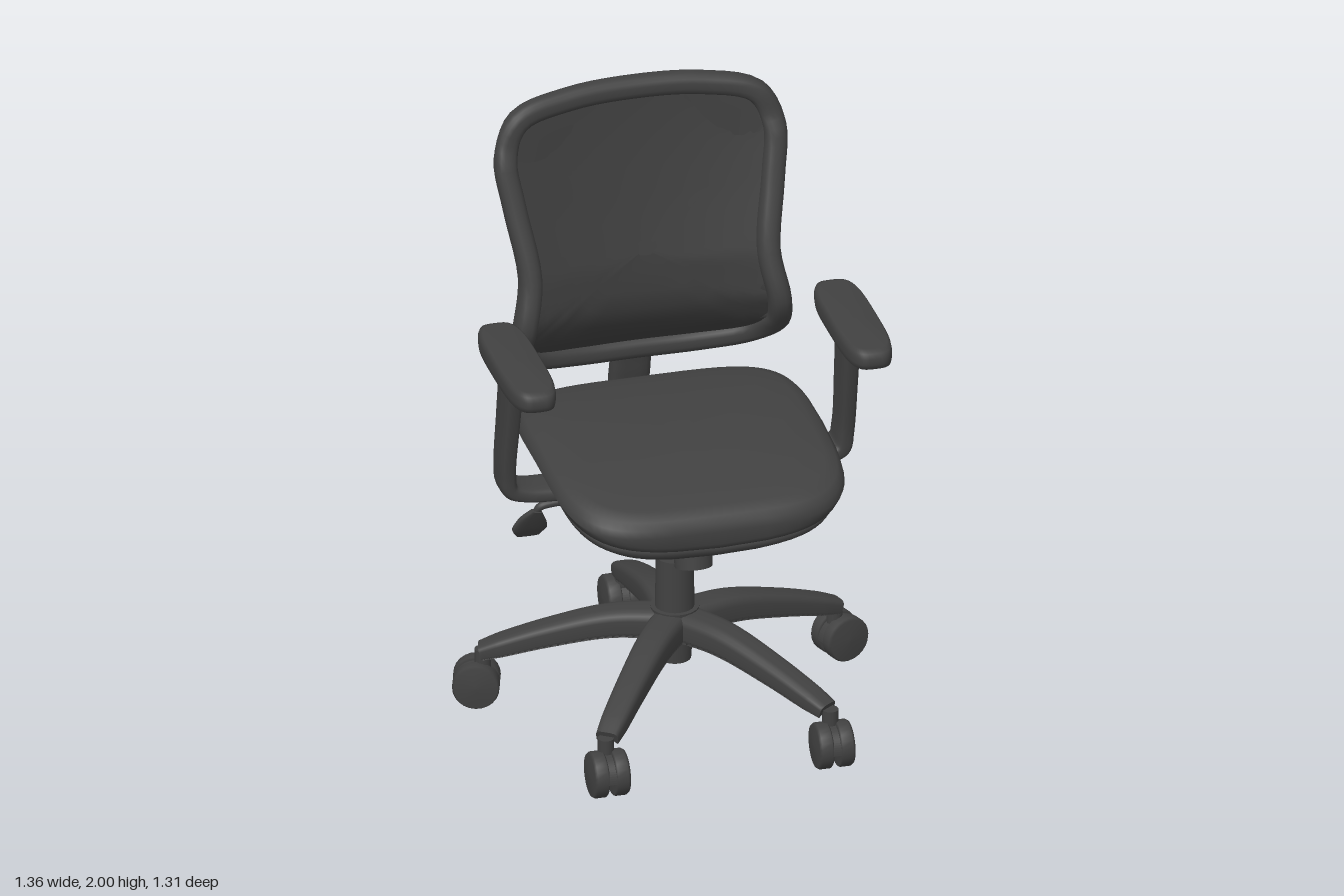
import * as THREE from 'three';
import { RoundedBoxGeometry } from 'three/addons/geometries/RoundedBoxGeometry.js';

const V = (x, y, z) => new THREE.Vector3(x, y, z);
const soft = (v, p) => Math.sign(v) * Math.abs(v) ** p;

// Skin a list of rings (arrays of Vector3, counter-clockwise about the path)
function skin(rings, closed = false) {
  const n = rings[0].length, pos = [], idx = [];
  rings.forEach(r => r.forEach(p => pos.push(p.x, p.y, p.z)));
  const last = closed ? rings.length : rings.length - 1;
  for (let i = 0; i < last; i++) for (let j = 0; j < n; j++) {
    const k = (i + 1) % rings.length, m = (j + 1) % n;
    const a = i * n + j, b = i * n + m, c = k * n + j, d = k * n + m;
    idx.push(a, b, c, b, d, c);
  }
  if (!closed) [rings[0], rings[rings.length - 1]].forEach((r, end) => {
    const base = pos.length / 3;
    const mid = r.reduce((s, p) => s.add(p), V(0, 0, 0)).divideScalar(n);
    [...r, mid].forEach(p => pos.push(p.x, p.y, p.z));
    for (let j = 0; j < n; j++) {
      const a = base + j, b = base + (j + 1) % n;
      end ? idx.push(base + n, a, b) : idx.push(base + n, b, a);
    }
  });
  const g = new THREE.BufferGeometry();
  g.setAttribute('position', new THREE.Float32BufferAttribute(pos, 3));
  g.setIndex(idx);
  g.computeVertexNormals();
  return g;
}

// Sweep a rounded section; each point is [x, y, z, halfThickness, halfWidth], width runs along side.
// A groove presses the middle of the underside into the section.
function sweep(points, side, { closed = false, steps = 32, pow = 0.6, groove = false } = {}) {
  const path = new THREE.CatmullRomCurve3(points.map(p => V(p[0], p[1], p[2])), closed);
  const size = new THREE.CatmullRomCurve3(points.map(p => V(p[3], p[4], 0)), closed);
  const rings = [];
  for (let i = 0; i < steps + (closed ? 0 : 1); i++) {
    const u = i / steps, c = path.getPoint(u), s = size.getPoint(u);
    const n = path.getTangent(u).cross(side).normalize();
    rings.push(Array.from({ length: 16 }, (_, j) => {
      const a = (j + 0.5) / 16 * Math.PI * 2, w = soft(Math.cos(a), pow);
      const h = groove && Math.sin(a) > 0 && Math.abs(w) < 0.75 ? -0.4 : soft(Math.sin(a), pow);
      return c.clone().addScaledVector(side, s.y * w).addScaledVector(n, s.x * h);
    }));
  }
  return skin(rings, closed);
}

// Cushion-like solid: stacked rounded-rectangle rings, layers are [scale, y] from bottom to top
function cushion(hx, hz, pow, layers, lift = () => 0) {
  return skin(layers.map(([r, y]) => Array.from({ length: 64 }, (_, j) => {
    const a = j / 64 * Math.PI * 2;
    const x = hx * r * soft(Math.cos(a), pow), z = -hz * r * soft(Math.sin(a), pow);
    return V(x, y + lift(x, y, z), z);
  })));
}

// Backrest surface: [height, depth at the centre, forward bend at the sides]
const BACK = [[1.0, -0.44, 0.035], [1.08, -0.39, 0.047], [1.16, -0.312, 0.055], [1.26, -0.264, 0.056], [1.4, -0.278, 0.048],
  [1.6, -0.337, 0.043], [1.8, -0.39, 0.035], [1.9, -0.412, 0.035], [2.0, -0.432, 0.04]];
function backZ(x, y) {
  let i = 0;
  while (i < BACK.length - 2 && y > BACK[i + 1][0]) i++;
  const [a, b] = [BACK[i], BACK[i + 1]], t = (y - a[0]) / (b[0] - a[0]);
  return a[1] + (b[1] - a[1]) * t + (a[2] + (b[2] - a[2]) * t) * (x / 0.44) ** 2;
}

export function createModel() {
  const chair = new THREE.Group();
  const charcoal = new THREE.MeshStandardMaterial({ color: 0x414141 });
  charcoal.name = 'charcoal';
  const meshFabric = new THREE.MeshStandardMaterial({ color: 0x3c3c3c, side: THREE.DoubleSide });
  meshFabric.name = 'mesh fabric';
  const X = V(1, 0, 0), Y = V(0, 1, 0), Z = V(0, 0, 1);
  const add = (name, geo, x = 0, y = 0, z = 0, parent = chair, mat = charcoal) => {
    const m = new THREE.Mesh(geo, mat);
    m.name = name;
    m.position.set(x, y, z);
    parent.add(m);
    return m;
  };
  const cyl = (r1, r2, h, n = 24) => new THREE.CylinderGeometry(r1, r2, h, n);

  // Seat cushion and the recessed shell below it; the underside curves up towards the sides
  const bend = (x, y, z) => -0.2 * (z + 0.095) ** 2 + (y < -0.09 ? 0.045 : 0) * (x / 0.465) ** 2;
  add('seatCushion', cushion(0.47, 0.482, 0.48, [[0.93, -0.135], [0.975, -0.125], [0.995, -0.105], [1, -0.06], [0.988, -0.036],
    [0.955, -0.018], [0.88, -0.006], [0.7, 0], [0.4, 0.002], [0.1, 0.003]], bend), 0, 1.017, 0.115);
  add('seatShell', cushion(0.465, 0.475, 0.48, [[0.1, -0.185], [0.6, -0.183], [0.78, -0.183], [0.82, -0.197], [0.87, -0.192],
    [0.94, -0.165], [0.965, -0.14], [0.93, -0.125]], bend), 0, 1.017, 0.115);

  // Backrest rim and mesh panel
  const half = [[0, 1.05], [0.2, 1.055], [0.36, 1.085], [0.422, 1.16], [0.417, 1.26], [0.39, 1.42], [0.424, 1.65],
    [0.44, 1.8], [0.39, 1.91], [0.22, 1.952], [0, 1.962]];
  const outline = [...half, ...half.slice(1, -1).reverse().map(([x, y]) => [-x, y])];
  const rimDepth = y => 0.036 + 0.014 * Math.max(0, 1 - Math.abs(y - 1.35) / 0.4);
  add('backRim', sweep(outline.map(([x, y]) => [x, y, backZ(x, y), 0.037, rimDepth(y)]), Z,
    { closed: true, steps: 100, pow: 0.8 }));
  const loop = new THREE.CatmullRomCurve3(outline.map(([x, y]) => V(x, y, 0)), true).getPoints(80).slice(0, -1);
  const panelRings = [1, 0.9, 0.8, 0.65, 0.5, 0.35, 0.2, 0.05].map(s => loop.map(p => {
    const x = p.x * s, y = 1.45 + (p.y - 1.45) * s;
    return V(x, y, backZ(x, y));
  }));
  add('backMesh', skin(panelRings), 0, 0, 0, chair, meshFabric);

  // Lumbar bars running from the rim down to the spine
  [[1.435, 1.32, 0.03], [1.345, 1.235, 0.036], [1.225, 1.125, 0.058]].forEach(([yOut, yMid, h]) => {
    const pts = [-0.4, -0.25, -0.1, 0, 0.1, 0.25, 0.4].map(x => {
      const y = yMid + (yOut - yMid) * Math.min(1, Math.abs(x) / 0.36) ** 1.3;
      return [x, y, backZ(x, y) - 0.03 - 0.06 * (1 - (x / 0.4) ** 2), 0.014, h];
    });
    add('lumbarBar', sweep(pts, Y));
  });

  // Spine from the mechanism up behind the back
  add('backSpine', sweep([[0, 0.805, 0.06, 0.03, 0.09], [0, 0.8, -0.2, 0.028, 0.07], [0, 0.815, -0.36, 0.03, 0.065],
    [0, 0.865, -0.482, 0.036, 0.065], [0, 0.96, -0.472, 0.034, 0.065], [0, 1.1, -0.435, 0.03, 0.062],
    [0, 1.24, -0.385, 0.026, 0.058], [0, 1.35, -0.35, 0.015, 0.045]], X, { steps: 48 }));

  // Armrests
  for (const s of [1, -1]) {
    const arm = new THREE.Group();
    arm.name = s > 0 ? 'leftArmrest' : 'rightArmrest';
    arm.position.x = 0.007;
    chair.add(arm);
    add('armSupport', sweep([[0.05, 0.805, 0.03, 0.02, 0.08], [0.3, 0.82, 0.03, 0.024, 0.075], [0.49, 0.828, 0.03, 0.026, 0.066],
      [0.542, 0.85, 0.033, 0.028, 0.066], [0.553, 0.91, 0.04, 0.027, 0.066], [0.553, 1.1, 0.075, 0.028, 0.072],
      [0.55, 1.29, 0.11, 0.03, 0.078]].map(([x, y, z, t, w]) => [s * x, y, z, t, w]), Z, { steps: 40 }));
    add('armBracket', new RoundedBoxGeometry(0.105, 0.05, 0.21, 2, 0.015), s * 0.55, 1.275, 0.11, arm);
    add('armPad', cushion(0.078, 0.272, 0.55, [[0.9, 0], [0.98, 0.008], [1, 0.025], [1, 0.045], [0.97, 0.06], [0.88, 0.068],
      [0.1, 0.07]]), s * 0.55, 1.29, 0.145, arm);
  }

  // Tilt mechanism, tension knob and height lever
  add('mechanism', new RoundedBoxGeometry(0.26, 0.09, 0.36, 2, 0.02), 0, 0.805, 0.1);
  add('mechanismCone', cyl(0.13, 0.05, 0.07), 0, 0.75, 0.05);
  const knob = new THREE.Group();
  knob.name = 'tensionKnob';
  knob.position.set(0, 0.7, 0.25);
  knob.rotation.x = -0.22;
  chair.add(knob);
  add('knobNeck', cyl(0.052, 0.052, 0.14), 0, 0.04, 0, knob);
  add('knobCollar', cyl(0.057, 0.063, 0.03), 0, -0.005, 0, knob);
  add('knobGrip', cyl(0.063, 0.06, 0.07), 0, -0.06, 0, knob);
  add('leverRod', sweep([[0, 0.755, 0.02, 0.013, 0.013], [-0.2, 0.755, 0.015, 0.013, 0.013], [-0.39, 0.754, 0.01, 0.013, 0.013],
    [-0.43, 0.742, 0.005, 0.013, 0.013], [-0.44, 0.7, -0.01, 0.013, 0.013]], Z, { pow: 1 }));
  add('leverPaddle', sweep([[-0.44, 0.73, 0.005, 0.018, 0.014], [-0.447, 0.69, -0.017, 0.045, 0.015],
    [-0.45, 0.65, -0.04, 0.056, 0.015], [-0.45, 0.615, -0.06, 0.038, 0.01]], Z, { steps: 16 }));

  // Gas lift column and hub
  const hubZ = 0.05;
  add('gasPiston', cyl(0.034, 0.034, 0.24), 0, 0.63, hubZ);
  add('gasSleeve', cyl(0.06, 0.063, 0.22), 0, 0.425, hubZ);
  add('hub', cyl(0.078, 0.066, 0.12), 0, 0.3, hubZ);
  add('hubFoot', cyl(0.058, 0.052, 0.09), 0, 0.22, hubZ);

  // Five legs with twin-wheel casters; the hood fills the upper half between the wheels
  const hoodShape = new THREE.Shape().absarc(0, 0, 0.073, 0, Math.PI);
  const hoodGeo = new THREE.ExtrudeGeometry(hoodShape, { depth: 0.05, bevelEnabled: false, curveSegments: 16 });
  hoodGeo.translate(0, 0, -0.025).rotateY(Math.PI / 2);
  const wheelProfile = [[0, -0.024], [0.07, -0.024], [0.075, -0.019], [0.075, 0.015], [0.069, 0.023], [0, 0.026]];
  const wheelGeo = new THREE.LatheGeometry(wheelProfile.map(p => new THREE.Vector2(...p)), 24);
  for (let i = 0; i < 5; i++) {
    const a = -Math.PI / 2 + i * Math.PI * 2 / 5, dx = Math.cos(a), dz = Math.sin(a), front = dz > 0.3;
    const at = (r, y, t, w) => [dx * r, y, hubZ + dz * r, t, w];
    add('leg', sweep([at(0.02, 0.302, 0.055, 0.06), at(0.2, 0.297, 0.05, 0.054), at(0.4, 0.25, 0.042, 0.048),
      at(0.55, 0.203, 0.034, 0.043), at(0.612, 0.182, 0.026, 0.037)], V(-dz, 0, dx), { pow: 0.55, groove: true }));
    const caster = new THREE.Group();
    caster.name = 'caster';
    caster.position.set(dx * 0.625, 0, hubZ + dz * 0.63 + (front ? 0.016 : 0));
    // The front casters roll straight ahead, the others point outward
    caster.rotation.y = front ? 0 : Math.atan2(dx, dz);
    chair.add(caster);
    add('casterStem', cyl(0.026, 0.026, 0.07, 16), 0, 0.155, -0.02, caster);
    add('casterHood', hoodGeo, 0, 0.068, 0, caster);
    for (const s of [1, -1]) {
      const wheel = add('casterWheel', wheelGeo, s * 0.035, 0.075, 0, caster);
      wheel.rotation.z = -s * Math.PI / 2;
    }
  }
  return chair;
}
